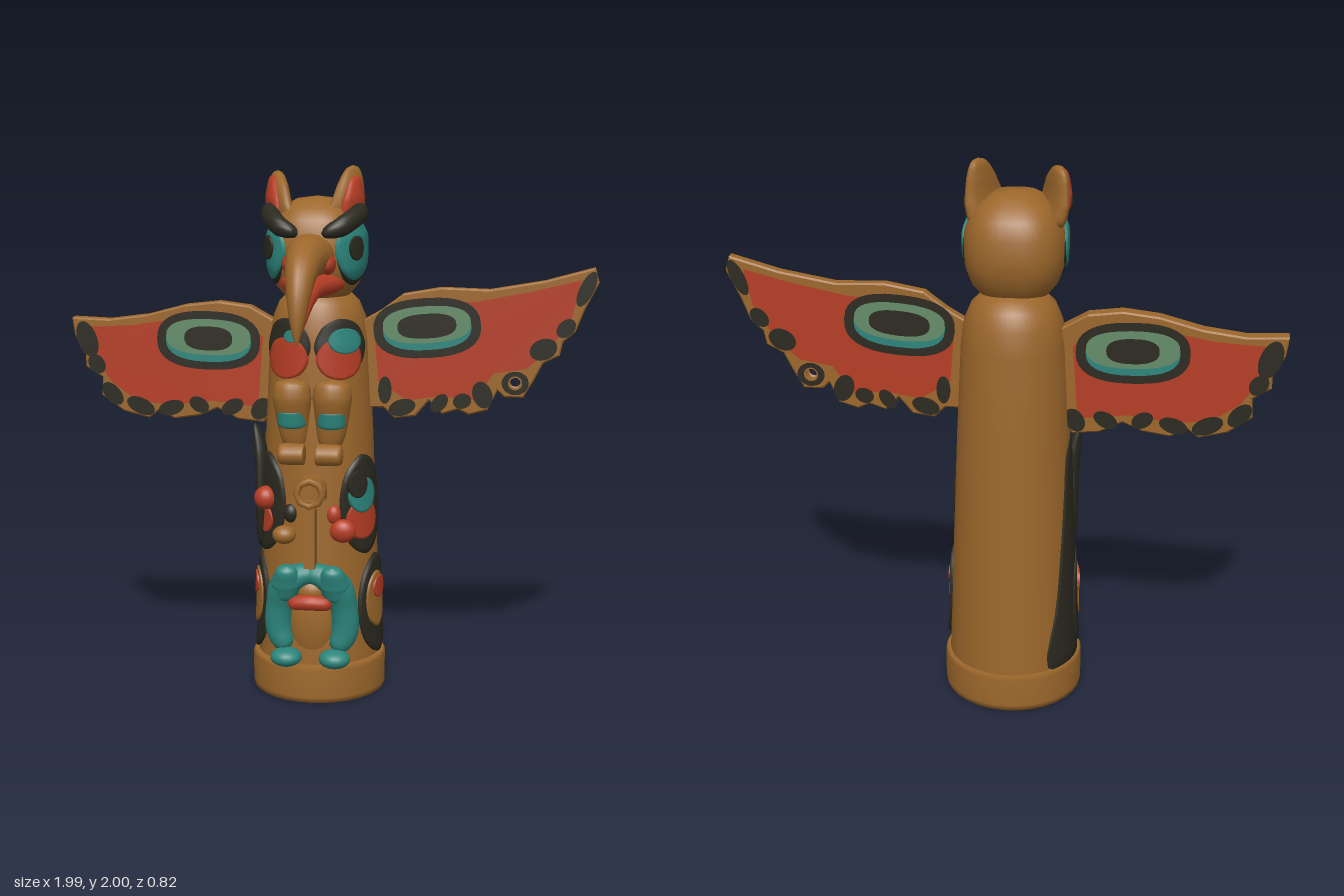
import * as THREE from 'three';

const CX = -0.037; // axis of the pole
const mat = (name, color) => {
  const m = new THREE.MeshStandardMaterial({ color, side: THREE.DoubleSide });
  m.name = name;
  return m;
};
const V = (x, y, z) => new THREE.Vector3(x, y, z);

export function createModel() {
  const root = new THREE.Group();
  root.name = 'totemPole';
  const wood = mat('wood', 0x9c672b), red = mat('redPaint', 0xb53d24), teal = mat('tealPaint', 0x2c857c);
  const black = mat('blackPaint', 0x2b291f), sage = mat('sagePaint', 0x648c68);

  const add = (name, geo, m, parent = root) => {
    const mesh = new THREE.Mesh(geo, m);
    mesh.name = name;
    parent.add(mesh);
    return mesh;
  };
  // rows of closed rings joined into a skin
  const skin = (rows, cols, f) => {
    const pos = [], idx = [];
    for (let j = 0; j <= rows; j++) for (let i = 0; i < cols; i++) pos.push(...f(j, i).toArray());
    for (let j = 0; j < rows; j++) for (let i = 0; i < cols; i++) {
      const a = j * cols + i, b = j * cols + (i + 1) % cols;
      idx.push(a, b, a + cols, b, b + cols, a + cols);
    }
    const g = new THREE.BufferGeometry();
    g.setAttribute('position', new THREE.Float32BufferAttribute(pos, 3));
    g.setIndex(idx);
    g.computeVertexNormals();
    return g;
  };
  const interp = (table, y) => {
    let k = 1;
    while (k < table.length - 1 && table[k][0] < y) k++;
    const [a, b] = [table[k - 1], table[k]];
    return a[1] + (b[1] - a[1]) * THREE.MathUtils.clamp((y - a[0]) / (b[0] - a[0]), 0, 1);
  };

  // surfaces as functions of angle from the front (towards +x) and height
  const poleR = [[0.1, 0.24], [0.5, 0.225], [1, 0.205], [1.35, 0.187], [1.44, 0.175], [1.5, 0.15], [1.54, 0.11], [1.56, 0]];
  const poleAt = (deg, y, lift = 0) => {
    const a = THREE.MathUtils.degToRad(deg), r = interp(poleR, y) + lift;
    return V(CX + r * Math.sin(a), y, -0.155 + r * Math.cos(a));
  };
  const headR = [[1.51, 0], [1.53, 0.68], [1.57, 0.86], [1.63, 0.98], [1.68, 1], [1.75, 0.99], [1.81, 0.88], [1.85, 0.7], [1.88, 0.42], [1.89, 0]];
  const headAt = (deg, y, lift = 0) => {
    const a = THREE.MathUtils.degToRad(deg), s = interp(headR, y);
    const p = (v) => Math.sign(v) * Math.abs(v) ** 0.8;
    return V(CX + (0.178 * s + lift) * p(Math.sin(a)), y, -0.1 + (0.2 * s + lift) * p(Math.cos(a)));
  };
  const solid = (name, at, table) =>
    add(name, skin(table.length - 1, 48, (j, i) => at(i * 7.5, table[j][0])), wood);

  // raised painted patch laid on a surface; outline in (degrees, height)
  const K = 0.004; // surface length of one degree
  const patch = (name, m, at, pts, lift) => {
    const curve = new THREE.CatmullRomCurve3(pts.map(([a, y]) => V(a * K, y, 0)), true);
    const n = 36, ring = curve.getPoints(n).slice(0, n);
    const c = ring.reduce((s, p) => s.add(p), V(0, 0, 0)).divideScalar(n);
    add(name, skin(9, n, (j, i) => {
      const p = c.clone().lerp(ring[i], Math.min(j / 8, 1));
      return at(p.x / K, Math.max(p.y, 0.135), j > 8 ? -0.005 : lift);
    }), m);
  };
  const oval = (x, y, rx, ry) => Array.from({ length: 8 }, (_, k) =>
    [x + rx * Math.cos(k * Math.PI / 4), y + ry * Math.sin(k * Math.PI / 4)]);

  // rounded limb through points [x, y, z, radius along side, other radius]
  const limb = (name, m, pts, side, power = 8) => {
    const curve = new THREE.CatmullRomCurve3(pts.map(p => V(p[0], p[1], p[2])));
    const table = (k) => pts.map((p, i) => [i / (pts.length - 1), p[k]]);
    const ra = table(3), rb = table(4), rows = 24, S = V(...side).normalize();
    add(name, skin(rows, 16, (j, i) => {
      const t = j / rows, a = i * Math.PI / 8;
      const cap = Math.sqrt(Math.max(0, 1 - Math.abs(2 * t - 1) ** power));
      const U = curve.getTangent(t).cross(S).normalize();
      return curve.getPoint(t).addScaledVector(S, Math.cos(a) * interp(ra, t) * cap)
        .addScaledVector(U, Math.sin(a) * interp(rb, t) * cap);
    }), m);
  };
  const ball = (name, m, x, y, z, sx, sy, sz) => {
    const b = add(name, new THREE.SphereGeometry(1, 20, 14), m);
    b.position.set(x, y, z);
    b.scale.set(sx, sy, sz);
  };

  // base, pole and head
  const base = add('base', new THREE.LatheGeometry([[0, 0], [0.256, 0], [0.258, 0.02], [0.258, 0.125], [0.25, 0.14], [0, 0.142]]
    .map(p => new THREE.Vector2(...p)), 32), wood);
  base.position.set(CX, 0, -0.147);
  base.scale.z = 1.025;
  solid('pole', poleAt, poleR);
  solid('head', headAt, headR);

  // hooked beak with a red lower half
  limb('upperBeak', wood, [[CX, 1.67, -0.06, 0.1, 0.08], [CX, 1.685, 0.1, 0.088, 0.08], [CX, 1.68, 0.21, 0.07, 0.074],
    [CX, 1.64, 0.3, 0.056, 0.062], [CX, 1.565, 0.355, 0.042, 0.048], [CX, 1.48, 0.385, 0.026, 0.028], [CX, 1.4, 0.398, 0.006, 0.006]], [1, 0, 0], 20);
  limb('lowerBeak', red, [[CX, 1.58, -0.06, 0.14, 0.05], [CX, 1.583, 0.06, 0.115, 0.05], [CX, 1.575, 0.19, 0.06, 0.045],
    [CX, 1.54, 0.275, 0.043, 0.04], [CX, 1.485, 0.34, 0.028, 0.026], [CX, 1.42, 0.385, 0.006, 0.006]], [1, 0, 0], 20);

  for (const s of [1, -1]) {
    const x = (d) => CX + s * d;
    // face paint, brows and ears
    patch('eyeOutline', black, headAt, oval(s * 64, 1.685, 37, 0.112), 0.004);
    patch('eyePatch', teal, headAt, oval(s * 62, 1.705, 37, 0.112), 0.009);
    patch('pupil', black, headAt, oval(s * 56, 1.71, 13, 0.044), 0.016);
    ball('nostril', red, x(0.068), 1.658, 0.11, 0.028, 0.038, 0.06);
    limb('brow', black, [[x(0.042), 1.765, 0.1, 0.022, 0.028], [x(0.112), 1.79, 0.075, 0.039, 0.034],
      [x(0.162), 1.828, -0.02, 0.039, 0.034], [x(0.152), 1.83, -0.14, 0.026, 0.022]], [0, 1, 0]);
    const wide = [-0.4 * s, 0, 0.9], e = (d) => x(d + (s < 0 ? 0.022 : 0));
    limb('ear', wood, [[e(0.09), 1.76, -0.09, 0.12, 0.045], [e(0.112), 1.85, -0.085, 0.115, 0.036],
      [e(0.122), 1.93, -0.1, 0.082, 0.03], [e(0.128), s > 0 ? 2 : 1.98, -0.125, 0.042, 0.018]], wide);
    limb('innerEar', red, [[e(0.13), 1.81, -0.055, 0.075, 0.022], [e(0.139), 1.88, -0.065, 0.07, 0.022],
      [e(0.139), 1.965, -0.1, 0.034, 0.017]], wide);

    // breast paint, legs and feet
    patch('breastOutline', black, poleAt, oval(s * 35, 1.348, 33, 0.1), 0.008);
    patch('breastRed', red, poleAt, oval(s * 31, 1.303, 27, 0.076), 0.014);
    if (s > 0) patch('breastTeal', teal, poleAt, oval(37, 1.368, 20, 0.046), 0.019);
    else patch('breastTeal', teal, poleAt, oval(-24, 1.385, 9, 0.022), 0.019);
    limb('leg', wood, [[x(0.075), 1.23, 0.035, 0.068, 0.06], [x(0.075), 1.16, 0.045, 0.073, 0.065],
      [x(0.072), 1.07, 0.035, 0.062, 0.05], [x(0.065), 0.96, 0.03, 0.045, 0.04]], [1, 0, 0]);
    limb('legBand', teal, [[x(0.075), 1.12, 0.052, 0.059, 0.05], [x(0.073), 1.05, 0.044, 0.055, 0.05]], [1, 0, 0]);
    limb('foot', wood, [[x(0.02), 0.958, 0.09, 0.046, 0.04], [x(0.123), 0.958, 0.09, 0.046, 0.04]], [0, 0, 1]);

    // middle figure: side eyes and hands
    patch('sideOutline', black, poleAt, oval(s * 57, 0.747, 29, 0.19), 0.012);
    if (s > 0) {
      patch('sideRed', red, poleAt, oval(53, 0.692, 20, 0.075), 0.018);
      patch('sideTeal', teal, poleAt, oval(53, 0.787, 17, 0.067), 0.021);
      patch('sidePupil', black, poleAt, oval(46, 0.83, 11, 0.05), 0.026);
      ball('hand', red, x(0.115), 0.66, 0.045, 0.05, 0.045, 0.035);
    } else {
      patch('sideRed', red, poleAt, oval(-54, 0.68, 12, 0.05), 0.018);
      ball('hand', wood, x(0.105), 0.64, 0.055, 0.045, 0.035, 0.04);
      ball('elbow', red, x(0.185), 0.765, -0.01, 0.045, 0.045, 0.045);
    }
    ball('paw', s > 0 ? red : black, x(0.08), 0.72, 0.035, 0.03, 0.038, 0.03);

    // lower side scrolls
    patch('scrollOutline', black, poleAt, oval(s * 75, 0.345, 28, 0.195), 0.012);
    patch('scrollWood', wood, poleAt, oval(s * 72, 0.365, 17, 0.11), 0.017);
    patch('scrollRed', red, poleAt, oval(s * 76, 0.41, 12, 0.043), 0.022);

    // crouching teal figure, one half
    limb('tealArm', teal, [[x(0.09), 0.19, 0.065, 0.05, 0.045], [x(0.125), 0.27, 0.055, 0.048, 0.052], [x(0.122), 0.37, 0.06, 0.05, 0.052],
      [x(0.098), 0.45, 0.075, 0.062, 0.058], [x(0.03), 0.495, 0.08, 0.045, 0.044], [x(-0.03), 0.495, 0.08, 0.04, 0.04]], [0, 0, 1]);
    limb('tealEar', teal, [[x(0.1), 0.4, 0.075, 0.05, 0.045], [x(0.09), 0.47, 0.1, 0.058, 0.045], [x(0.085), 0.54, 0.135, 0.035, 0.028]], [1, 0, 0]);
    ball('tealFoot', teal, x(0.092), 0.175, 0.1, 0.06, 0.036, 0.055);
  }
  ball('belly', wood, CX, 0.31, 0.045, 0.09, 0.16, 0.05);
  ball('muzzle', wood, CX, 0.43, 0.07, 0.06, 0.05, 0.045);
  limb('mouth', red, [[CX - 0.085, 0.388, 0.1, 0.03, 0.026], [CX, 0.397, 0.112, 0.034, 0.03], [CX + 0.085, 0.388, 0.1, 0.03, 0.026]], [0, 0, 1]);

  // round-headed staff at the centre
  const disc = add('staffHead', new THREE.CylinderGeometry(0.062, 0.062, 0.09, 8), wood);
  disc.rotation.set(Math.PI / 2, Math.PI / 8, 0);
  disc.position.set(CX, 0.815, 0.07);
  const rim = add('staffRim', new THREE.TorusGeometry(0.048, 0.013, 8, 8), wood);
  rim.position.set(CX, 0.815, 0.118);
  const stem = add('staffStem', new THREE.BoxGeometry(0.042, 0.26, 0.09), wood);
  stem.position.set(CX, 0.66, 0.08);

  // dark panel and fin on one side
  patch('sidePanel', black, poleAt, [[-140, 0.15], [-129, 0.4], [-116, 0.75], [-104, 0.98], [-88, 1.0], [-80, 0.8],
    [-78, 0.5], [-78, 0.15], [-100, 0.14], [-120, 0.14]], 0.006);
  limb('sideFin', black, [[-0.275, 1.04, -0.08, 0.02, 0.012], [-0.25, 0.93, -0.07, 0.05, 0.026],
    [-0.245, 0.75, -0.07, 0.07, 0.025], [-0.25, 0.55, -0.08, 0.05, 0.02]], [0, 0, 1]);

  // wings: a cut-out board painted alike on both faces
  const buildWing = (name, z, thick, outline, panel, eye, spots, hole) => {
    const g = new THREE.Group();
    g.name = name;
    g.position.z = z;
    root.add(g);
    const shapeOf = (pts) => new THREE.Shape(pts.map(p => new THREE.Vector2(...p)));
    const ellipse = (x, y, rx, ry, rot = 0) => new THREE.Shape().absellipse(x, y, rx, ry, 0, Math.PI * 2, false, rot);
    const pierce = (shape) => {
      if (hole) shape.holes.push(new THREE.Path().absarc(hole[0], hole[1], 0.026, 0, Math.PI * 2, true));
      return shape;
    };
    const board = new THREE.ExtrudeGeometry(pierce(shapeOf(outline)),
      { depth: thick - 0.012, bevelThickness: 0.006, bevelSize: 0.006, bevelOffset: -0.006, bevelSegments: 1 });
    board.translate(0, 0, 0.006 - thick / 2);
    add('wingBoard', board, wood, g);
    const paint = (label, shape, m, layer) => {
      for (const s of [1, -1]) {
        const p = add(label, new THREE.ShapeGeometry(shape, 24), m, g);
        p.position.z = s * (thick / 2 + 0.001 + layer * 0.0015);
      }
    };
    paint('wingPanel', shapeOf(panel), red, 0);
    const [x, y, rot, coreX] = eye;
    const rounded = (rx, ry, dy = 0) => shapeOf(Array.from({ length: 32 }, (_, k) => {
      const a = k * Math.PI / 16, p = (v) => Math.sign(v) * Math.abs(v) ** 0.8;
      const u = rx * p(Math.cos(a)), v = ry * p(Math.sin(a)) + dy;
      return [x + u * Math.cos(rot) - v * Math.sin(rot), y + u * Math.sin(rot) + v * Math.cos(rot)];
    }));
    paint('wingEyeOutline', rounded(0.2, 0.112), black, 1);
    paint('wingEyeTeal', rounded(0.165, 0.082), teal, 2);
    paint('wingEyeSage', rounded(0.164, 0.069, 0.013), sage, 3);
    paint('wingEyeCore', rounded(coreX, 0.046, 0.008), black, 4);
    spots.forEach(([sx, sy, rx, ry, r]) => paint('featherTip', ellipse(sx, sy + 0.008, rx * 1.15, ry * 1.3, r), black, 1));
    if (hole) paint('holeRing', pierce(ellipse(hole[0], hole[1], 0.05, 0.044)), black, 2);
  };
  buildWing('leftWing', -0.147, 0.046,
    [[0.08, 1.4], [0.2, 1.47], [0.28, 1.53], [0.42, 1.555], [0.6, 1.55], [0.8, 1.585], [0.98, 1.635], [0.995, 1.58], [0.945, 1.48],
      [0.915, 1.4], [0.87, 1.36], [0.86, 1.31], [0.8, 1.28], [0.765, 1.21], [0.73, 1.15], [0.66, 1.15], [0.635, 1.175], [0.6, 1.1], [0.53, 1.08],
      [0.49, 1.1], [0.43, 1.08], [0.38, 1.13], [0.33, 1.07], [0.25, 1.06], [0.21, 1.1], [0.08, 1.1]],
    [[0.17, 1.42], [0.3, 1.5], [0.55, 1.505], [0.75, 1.545], [0.93, 1.59], [0.9, 1.45], [0.82, 1.33], [0.74, 1.26], [0.62, 1.24], [0.55, 1.14], [0.42, 1.15], [0.3, 1.13], [0.19, 1.2]],
    [0.37, 1.405, 0.08, 0.11],
    [[0.95, 1.55, 0.06, 0.02, 1.15], [0.88, 1.405, 0.035, 0.022, 0.8], [0.8, 1.325, 0.045, 0.03, 0.4], [0.58, 1.15, 0.045, 0.028, 1.9],
      [0.505, 1.125, 0.03, 0.022, 0.3], [0.42, 1.115, 0.035, 0.02, 0.9], [0.28, 1.095, 0.045, 0.024, 0.3], [0.215, 1.16, 0.022, 0.04, 0]],
    [0.7, 1.205]);
  buildWing('rightWing', -0.158, 0.062,
    [[-0.12, 1.38], [-0.22, 1.43], [-0.3, 1.475], [-0.42, 1.49], [-0.55, 1.475], [-0.7, 1.435], [-0.85, 1.415], [-0.995, 1.42], [-0.985, 1.35],
      [-0.945, 1.28], [-0.945, 1.23], [-0.88, 1.19], [-0.885, 1.12], [-0.8, 1.06], [-0.7, 1.035], [-0.66, 1.065], [-0.6, 1.035], [-0.5, 1.05],
      [-0.43, 1.08], [-0.35, 1.04], [-0.25, 1.03], [-0.21, 1.1], [-0.12, 1.1]],
    [[-0.25, 1.36], [-0.35, 1.44], [-0.55, 1.43], [-0.75, 1.395], [-0.93, 1.385], [-0.91, 1.27], [-0.84, 1.17], [-0.74, 1.1], [-0.6, 1.09], [-0.45, 1.11], [-0.27, 1.09]],
    [-0.46, 1.342, -0.02, 0.093],
    [[-0.935, 1.33, 0.062, 0.03, 1.9], [-0.9, 1.235, 0.035, 0.024, 2.2], [-0.84, 1.12, 0.045, 0.024, 2.3], [-0.73, 1.075, 0.05, 0.024, -0.4],
      [-0.61, 1.07, 0.045, 0.022, 0.3], [-0.5, 1.085, 0.035, 0.022, -0.5], [-0.37, 1.08, 0.04, 0.022, 0.5], [-0.26, 1.075, 0.04, 0.026, 1]]);

  return root;
}
